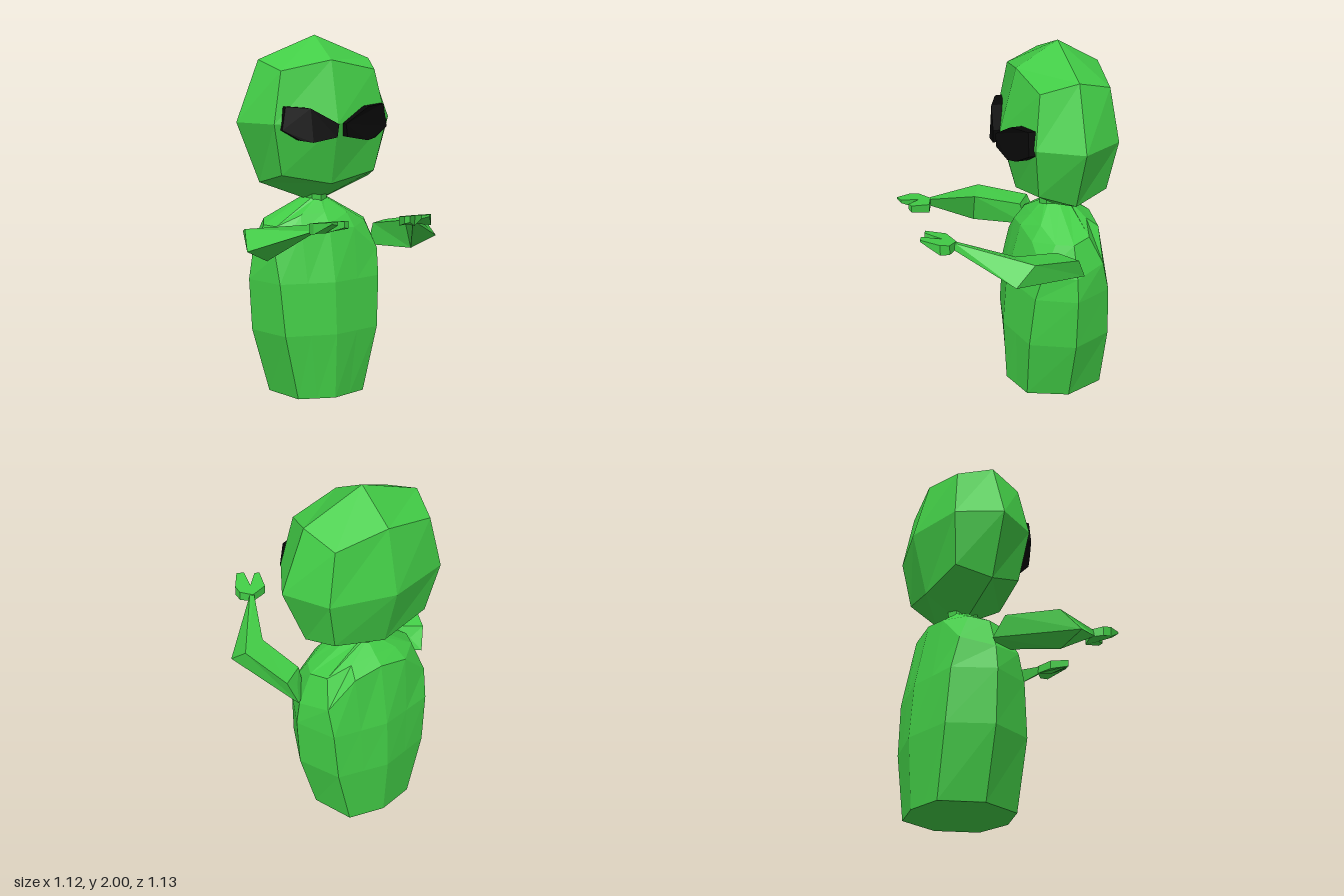
import * as THREE from 'three';

const green = new THREE.MeshStandardMaterial({ color: 0x42cc46, flatShading: true });
const black = new THREE.MeshStandardMaterial({ color: 0x080808, flatShading: true });

// Skin over a list of closed rings, with both ends capped by fans.
// Rings run counter-clockwise about the direction in which they are stacked.
function loft(rings, startLift = 0) {
  const pos = [];
  const tri = (a, b, c) => pos.push(...a, ...b, ...c);
  const n = rings[0].length;
  const centre = (r) => [0, 1, 2].map((k) => r.reduce((s, p) => s + p[k], 0) / n);
  const first = rings[0], last = rings[rings.length - 1];
  const c0 = centre(first), c1 = centre(last);
  c0[1] += startLift;
  for (let j = 0; j < n; j++) {
    const k = (j + 1) % n;
    for (let i = 0; i < rings.length - 1; i++) {
      const a = rings[i][j], b = rings[i][k], c = rings[i + 1][k], d = rings[i + 1][j];
      tri(a, b, c);
      tri(a, c, d);
    }
    tri(c0, first[k], first[j]);
    tri(c1, last[j], last[k]);
  }
  const g = new THREE.BufferGeometry();
  g.setAttribute('position', new THREE.Float32BufferAttribute(pos, 3));
  g.computeVertexNormals();
  return g;
}

// Move every vertex of a geometry by a rule
function reshape(source, rule) {
  const g = source.index ? source.toNonIndexed() : source;
  const p = g.attributes.position;
  for (let i = 0; i < p.count; i++) p.setXYZ(i, ...rule(p.getX(i), p.getY(i), p.getZ(i)));
  g.computeVertexNormals();
  return g;
}

function part(name, geometry, material = green) {
  const m = new THREE.Mesh(geometry, material);
  m.name = name;
  return m;
}

const shapeOf = (pts) => new THREE.Shape(pts.map((p) => new THREE.Vector2(...p)));

// Complete a half ring (front middle to back middle on +x) with its mirror image
const fullRing = (half) => [
  ...half,
  ...half.slice(1, -1).reverse().map(([x, y, z]) => [-x, y, z]),
];

// Level body ring: corner x, side x, front z, front corner z, back corner z, back z
const levelRing = (y, cx, sx, f, fc, bc, b) => fullRing([
  [0, y, f], [cx / 2, y, (f + fc) / 2], [cx, y, fc], [sx, y, -0.26],
  [cx, y, bc], [cx / 2, y, (b + bc) / 2], [0, y, b],
]);

function makeBody() {
  return loft([
    levelRing(0, 0.2, 0.285, 0.02, -0.04, -0.48, -0.525),
    levelRing(0.37, 0.28, 0.385, 0.04, -0.025, -0.485, -0.55),
    levelRing(0.66, 0.3, 0.4, 0.02, -0.05, -0.47, -0.53),
    // shoulder rim, dipping towards the arms
    fullRing([[0, 0.97, -0.06], [0.16, 0.94, -0.075], [0.31, 0.81, -0.09], [0.38, 0.79, -0.26],
      [0.31, 0.83, -0.43], [0.16, 0.98, -0.455], [0, 1.01, -0.46]]),
    // upper shoulders
    fullRing([[0, 1.03, -0.12], [0.14, 1.02, -0.13], [0.27, 0.96, -0.17], [0.31, 0.96, -0.26],
      [0.27, 0.98, -0.36], [0.14, 1.03, -0.39], [0, 1.05, -0.4]]),
    levelRing(1.1, 0.05, 0.07, -0.18, -0.2, -0.32, -0.33),
  ], 0.03);
}

// Rounded block: face middles stay, edges and corners are drawn in
function makeHead() {
  const pull = [1, 1, 0.72, 0.6];
  return reshape(new THREE.BoxGeometry(2, 2, 2, 2, 2, 2), (x, y, z) => {
    const k = pull[[x, y, z].filter((v) => Math.abs(v) > 0.5).length];
    return [x * k * 0.463, 1.535 + y * k * 0.465, -0.257 + z * k * 0.312];
  });
}

// Slanted eye plate wrapped back along the face
function makeEye(s) {
  const outline = [[0.02, 1.535], [0.03, 1.465], [0.16, 1.44], [0.22, 1.45], [0.31, 1.505],
    [0.29, 1.63], [0.17, 1.62]].map(([x, y]) => [s * x + 0.01, y]);
  const flat = new THREE.ExtrudeGeometry(shapeOf(outline), { depth: 0.06, bevelEnabled: false });
  return reshape(flat, (x, y, z) => {
    const d = Math.abs(x - 0.01);
    const bend = d < 0.16 ? 0.15 * d : 0.024 + 0.46 * (d - 0.16);
    return [x, y, 0.032 + z - bend - Math.max(0, y - 1.56) * 0.15];
  });
}

function makeArm(s) {
  const rings = [
    // shoulder, elbow, wrist: outer bottom, outer top, inner top, inner bottom
    [[0.4, 0.82, -0.29], [0.44, 0.94, -0.24], [0.32, 0.94, -0.16], [0.31, 0.81, -0.2]],
    [[0.56, 0.9, 0.14], [0.53, 1.0, 0.03], [0.39, 0.99, 0.09], [0.43, 0.83, 0.09]],
    [[0.295, 1.03, 0.395], [0.295, 1.065, 0.385], [0.27, 1.065, 0.38], [0.275, 1.03, 0.39]],
  ];
  return loft(s > 0 ? rings
    : rings.map((r) => r.map(([x, y, z]) => [-x, y, z]).reverse()));
}

// Two-fingered pincer, thinning and rising towards the tips
function makeHand(s) {
  const outline = [[0.28, 0.375], [0.335, 0.425], [0.335, 0.475], [0.275, 0.565], [0.235, 0.55],
    [0.255, 0.445], [0.185, 0.52], [0.158, 0.51], [0.185, 0.405]].map(([x, z]) => [s * x, z]);
  const flat = new THREE.ExtrudeGeometry(shapeOf(outline), { depth: 1, bevelEnabled: false });
  return reshape(flat, (x, z, d) => {
    const top = 1.07 + (z - 0.38) * 0.17;
    const bottom = 1.025 + Math.max(0, z - 0.47) * 0.7;
    return [x, d > 0.5 ? bottom : top, z];
  });
}

export function createModel() {
  const model = new THREE.Group();
  model.name = 'figure';
  const neck = new THREE.CylinderGeometry(0.065, 0.06, 0.12, 8);
  neck.scale(1, 1, 1.4);
  neck.translate(0, 1.08, -0.257);
  model.add(part('body', makeBody()), part('neck', neck), part('head', makeHead()));
  for (const [side, s] of [['left', 1], ['right', -1]]) {
    model.add(
      part(side + 'Eye', makeEye(s), black),
      part(side + 'Arm', makeArm(s)),
      part(side + 'Hand', makeHand(s)),
    );
  }
  return model;
}
